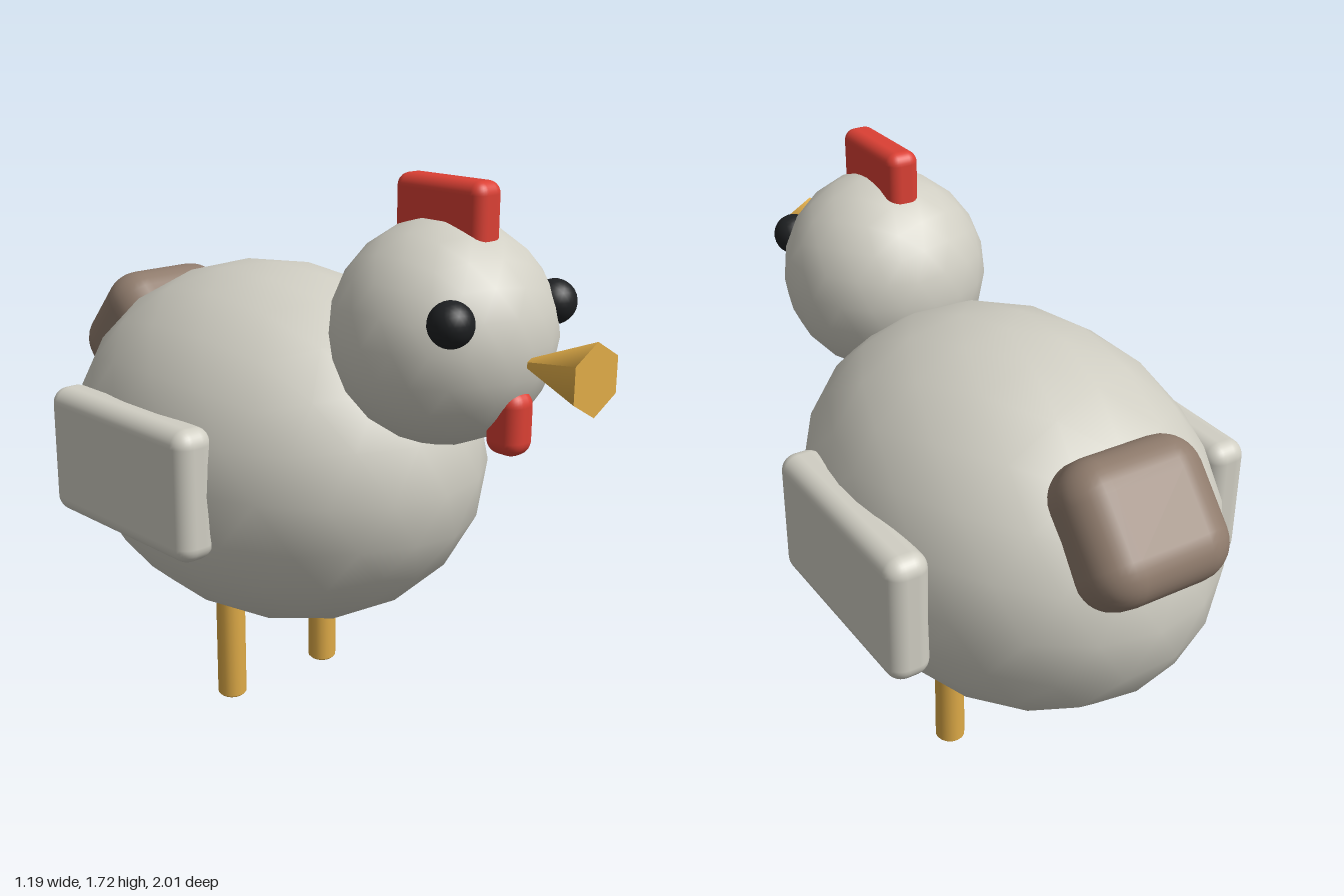
import * as THREE from 'three';
import { RoundedBoxGeometry } from 'three/addons/geometries/RoundedBoxGeometry.js';

function material(name, color) {
  const m = new THREE.MeshStandardMaterial({ color });
  m.name = name;
  return m;
}

// Smooth icosphere with a vertex at each pole, stretched to the given radii
function ball(rx, ry, rz, detail = 3) {
  const g = new THREE.IcosahedronGeometry(1, detail);
  g.rotateZ(-Math.atan(2 / (1 + Math.sqrt(5))));
  g.scale(rx, ry, rz);
  return g;
}

const block = (w, h, d, r) => new RoundedBoxGeometry(w, h, d, 4, r);

export function createModel() {
  const feathers = material('pale feathers', 0xd0cec3);
  const red = material('comb red', 0xdb4034);
  const yellow = material('beak yellow', 0xe0ac48);
  const black = material('eye black', 0x1e2022);
  const brown = material('tail brown', 0x907c6d);

  const model = new THREE.Group();
  model.name = 'hen';
  const add = (name, geometry, mat, x, y, z) => {
    const mesh = new THREE.Mesh(geometry, mat);
    mesh.name = name;
    mesh.position.set(x, y, z);
    model.add(mesh);
    return mesh;
  };

  // Body and head
  add('body', ball(0.56, 0.558, 0.74), feathers, 0, 0.832, -0.222);
  add('head', ball(0.314, 0.314, 0.314), feathers, 0, 1.303, 0.484);

  // Comb on the crown and wattle under the beak
  add('comb', block(0.1, 0.26, 0.315, 0.035), red, 0, 1.59, 0.487);
  add('wattle', block(0.1, 0.18, 0.115, 0.042), red, 0, 1.1, 0.729);

  // Six-sided beak, widening towards its tip
  const beak = new THREE.ConeGeometry(0.098, 0.25, 6);
  beak.rotateX(-Math.PI / 2);
  add('beak', beak, yellow, 0, 1.268, 0.875);

  // Tail block, tilted up and back
  const tail = add('tail', block(0.43, 0.26, 0.4, 0.11), brown, 0, 1.1, -0.83);
  tail.rotation.x = -0.85;

  // Leg profile with a slightly bevelled foot
  const leg = new THREE.LatheGeometry([
    new THREE.Vector2(0, 0), new THREE.Vector2(0.038, 0),
    new THREE.Vector2(0.046, 0.008), new THREE.Vector2(0.046, 0.4),
  ], 16);
  const eye = ball(0.062, 0.062, 0.062, 4);
  const wing = block(0.13, 0.395, 0.672, 0.05);

  // Paired parts
  for (const [side, s] of [['left', 1], ['right', -1]]) {
    add(side + 'Eye', eye, black, s * 0.204, 1.388, 0.697);
    add(side + 'Wing', wing, feathers, s * 0.529, 0.833, -0.263);
    add(side + 'Leg', leg, yellow, s * 0.197, 0, -0.222);
  }
  return model;
}
